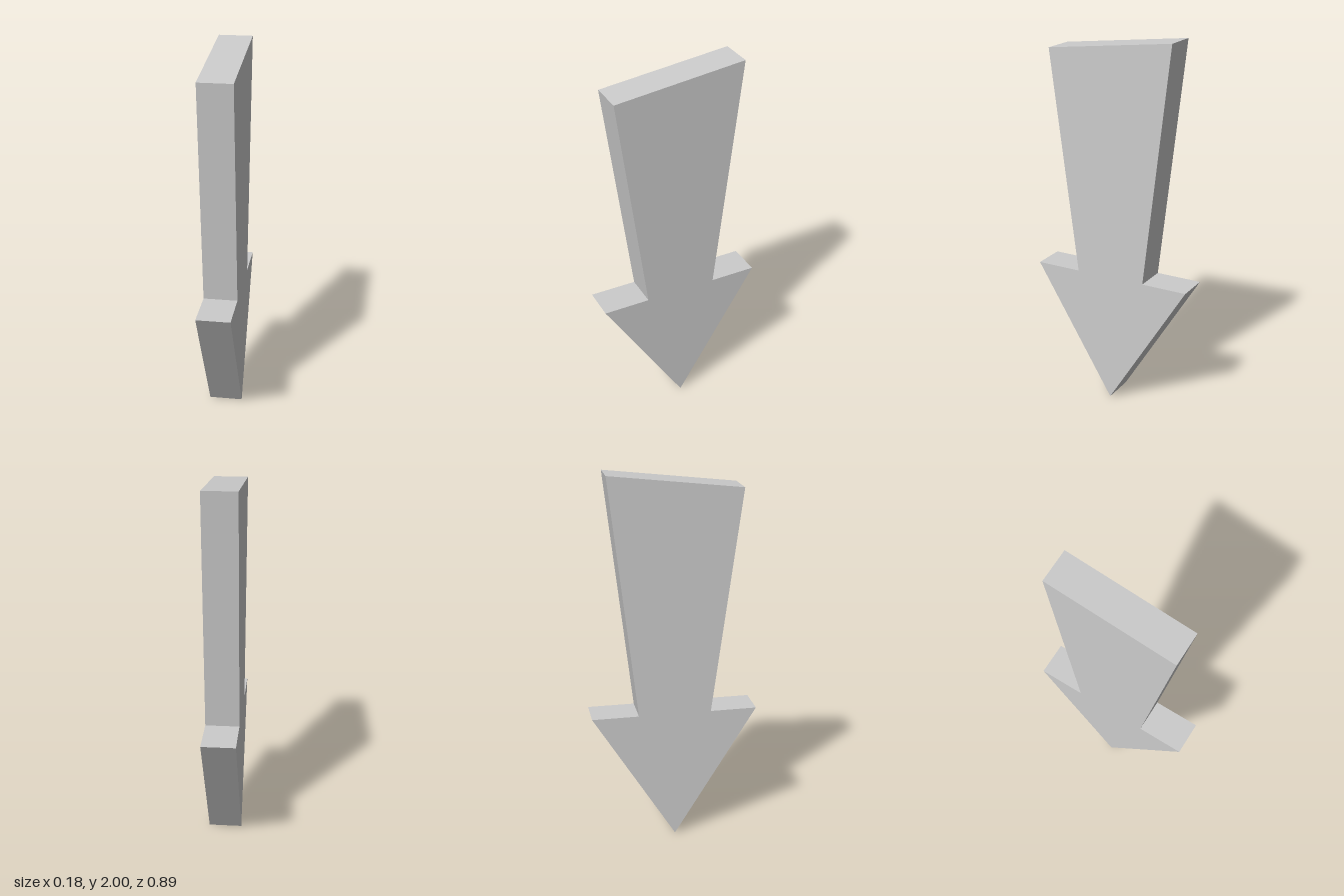
import * as THREE from 'three';

const THICKNESS = 0.18;

// Arrow outline as [z, y], counter-clockwise from the tip
const OUTLINE = [
  [0, 0],
  [0.445, 0.72],
  [0.195, 0.72],
  [0.355, 1.92],
  [-0.345, 2],
  [-0.195, 0.72],
  [-0.445, 0.72],
];

export function createModel() {
  const group = new THREE.Group();
  group.name = 'downArrow';

  // Flat slab with a pointed head and a flaring, slant-topped shaft
  const shape = new THREE.Shape(OUTLINE.map(([z, y]) => new THREE.Vector2(z, y)));
  const geometry = new THREE.ExtrudeGeometry(shape, { depth: THICKNESS, bevelEnabled: false });
  geometry.translate(0, 0, -THICKNESS / 2);
  geometry.rotateY(-Math.PI / 2); // outline's horizontal axis becomes z

  const material = new THREE.MeshStandardMaterial({ color: 0xcccccc, flatShading: true });
  const arrow = new THREE.Mesh(geometry, material);
  arrow.name = 'arrowBody';
  group.add(arrow);
  return group;
}
